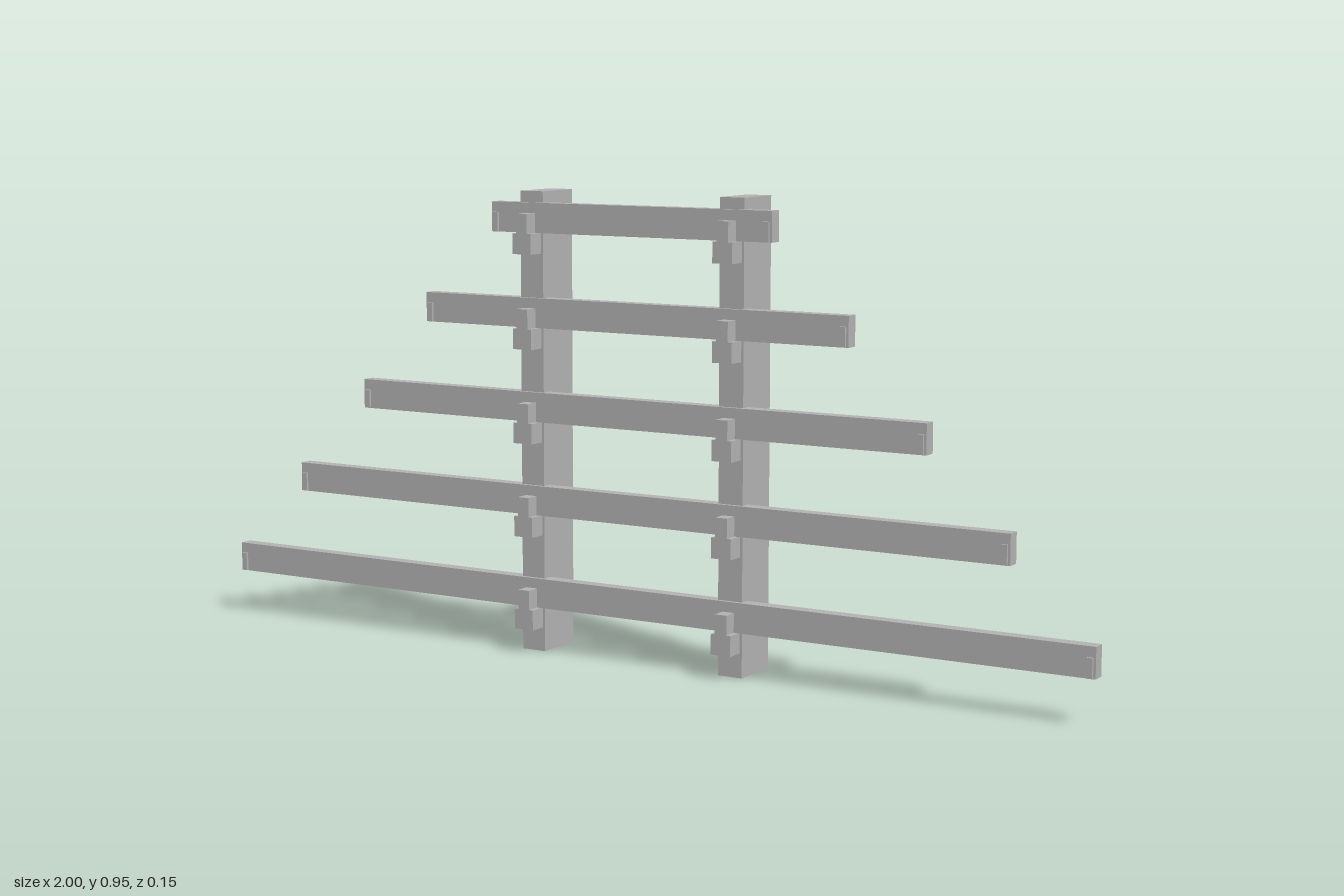
import * as THREE from 'three';

export function createModel() {
  const model = new THREE.Group();
  const grey = new THREE.MeshStandardMaterial({ color: 0xb2b2b2 });
  grey.name = 'plain grey';

  // box given by its extents on each axis
  function box(name, parent, [x0, x1], [y0, y1], [z0, z1]) {
    const mesh = new THREE.Mesh(new THREE.BoxGeometry(x1 - x0, y1 - y0, z1 - z0), grey);
    mesh.position.set((x0 + x1) / 2, (y0 + y1) / 2, (z0 + z1) / 2);
    mesh.name = name;
    parent.add(mesh);
  }

  // two upright posts
  const postX = 0.232;
  for (const s of [-1, 1]) {
    const x = s * postX;
    box(s > 0 ? 'leftPost' : 'rightPost', model, [x - 0.027, x + 0.027], [0, 0.948], [-0.073, 0.036]);
  }

  // five cross bars, shorter towards the top
  const halfLengths = [1, 0.828, 0.655, 0.49, 0.324];
  halfLengths.forEach((half, i) => {
    const tier = new THREE.Group();
    tier.name = 'tier' + (i + 1);
    tier.position.y = 0.092 + i * 0.193;
    model.add(tier);

    box('crossBar', tier, [-half, half], [0, 0.061], [0.016, 0.044]);

    for (const s of [-1, 1]) {
      // bracket: wide block under the bar, narrow tab in front of it
      const x = s * postX;
      box('bracketBlock', tier, [x - 0.022, x + 0.022], [-0.042, 0], [0.036, 0.074]);
      box('bracketTab', tier, [x - 0.013, x + 0.013], [0, 0.04], [0.04, 0.074]);
      // small raised stop near the bar end
      const e = s * (half - 0.011);
      box('endStop', tier, [e - 0.006, e + 0.006], [0.001, 0.04], [0.04, 0.049]);
    }
  });

  return model;
}
